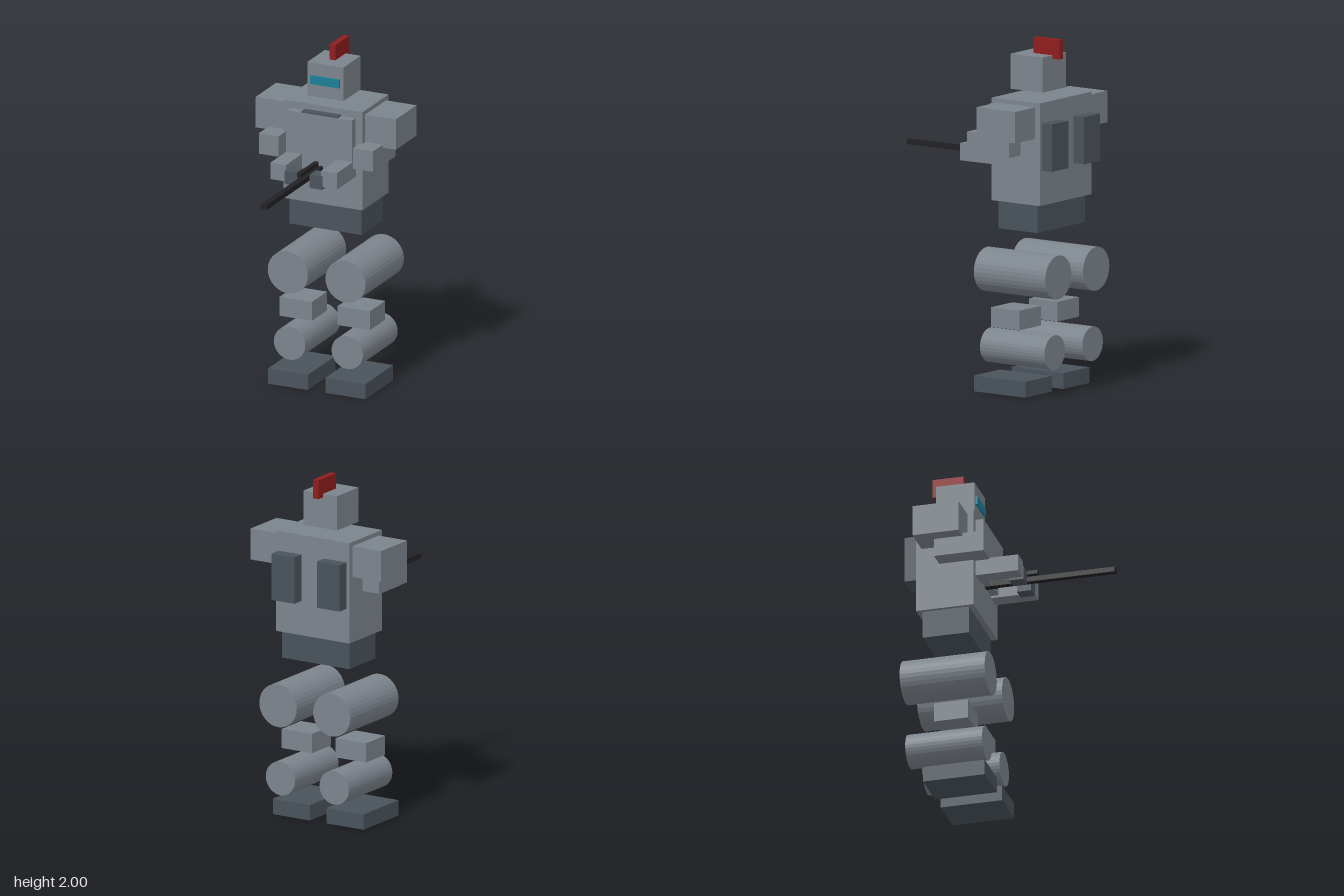
import * as THREE from 'three';

const paint = (color) => new THREE.MeshStandardMaterial({ color, flatShading: true });

export function createModel() {
  const model = new THREE.Group();
  model.name = 'robot';

  const armour = paint(0x7c848c);
  const dark = paint(0x4a535b);
  const red = paint(0x8f1d1d);
  const glass = paint(0x1b7f96);
  const black = paint(0x222226);

  // Box given by its extents along each axis
  function box(name, material, [x0, x1], [y0, y1], [z0, z1], parent = model) {
    const mesh = new THREE.Mesh(new THREE.BoxGeometry(x1 - x0, y1 - y0, z1 - z0), material);
    mesh.position.set((x0 + x1) / 2, (y0 + y1) / 2, (z0 + z1) / 2);
    mesh.name = name;
    parent.add(mesh);
  }

  // Matching boxes on the left (+x) and right (-x)
  function boxPair(name, material, [x0, x1], y, z) {
    box(name + 'Left', material, [x0, x1], y, z);
    box(name + 'Right', material, [-x1, -x0], y, z);
  }

  // Matching cylinders lying along z
  function rollerPair(name, radius, x, y, [z0, z1]) {
    const geometry = new THREE.CylinderGeometry(radius, radius, z1 - z0, 32).rotateX(Math.PI / 2);
    for (const side of [1, -1]) {
      const mesh = new THREE.Mesh(geometry, armour);
      mesh.position.set(side * x, y, (z0 + z1) / 2);
      mesh.name = name + (side > 0 ? 'Left' : 'Right');
      model.add(mesh);
    }
  }

  // Head
  box('head', armour, [-0.112, 0.112], [1.71, 1.91], [-0.428, -0.205]);
  box('visor', glass, [-0.09, 0.09], [1.785, 1.835], [-0.23, -0.194]);
  box('crest', red, [-0.018, 0.018], [1.89, 2.0], [-0.475, -0.295]);

  // Body
  box('torso', armour, [-0.247, 0.247], [1.09, 1.675], [-0.507, -0.172]);
  box('chestPlate', armour, [-0.203, 0.203], [1.3, 1.632], [-0.19, -0.127]);
  box('collarVent', dark, [-0.113, 0.113], [1.6, 1.641], [-0.19, -0.128]);
  box('pelvis', dark, [-0.225, 0.225], [0.93, 1.09], [-0.475, -0.205]);
  boxPair('backPack', dark, [0.075, 0.228], [1.29, 1.56], [-0.58, -0.49]);

  // Arms
  boxPair('shoulder', armour, [0.24, 0.438], [1.47, 1.65], [-0.475, -0.206]);
  boxPair('upperArm', armour, [0.232, 0.356], [1.365, 1.487], [-0.372, -0.081]);
  boxPair('forearm', armour, [0.11, 0.207], [1.287, 1.385], [-0.19, 0.078]);
  boxPair('hand', dark, [0.04, 0.118], [1.273, 1.353], [0, 0.083]);

  // Rifle
  const rifle = new THREE.Group();
  rifle.name = 'rifle';
  model.add(rifle);
  box('barrel', black, [-0.018, 0.018], [1.3, 1.33], [-0.16, 0.588], rifle);
  box('stock', black, [-0.022, 0.022], [1.298, 1.332], [-0.18, -0.105], rifle);
  box('sight', black, [-0.013, 0.013], [1.347, 1.37], [-0.09, 0.136], rifle);

  // Legs
  rollerPair('thigh', 0.125, 0.18, 0.682, [-0.587, -0.09]);
  boxPair('knee', armour, [0.08, 0.282], [0.375, 0.487], [-0.392, -0.194]);
  rollerPair('shin', 0.098, 0.18, 0.252, [-0.562, -0.113]);
  boxPair('foot', dark, [0.055, 0.304], [0, 0.09], [-0.45, -0.09]);

  return model;
}
